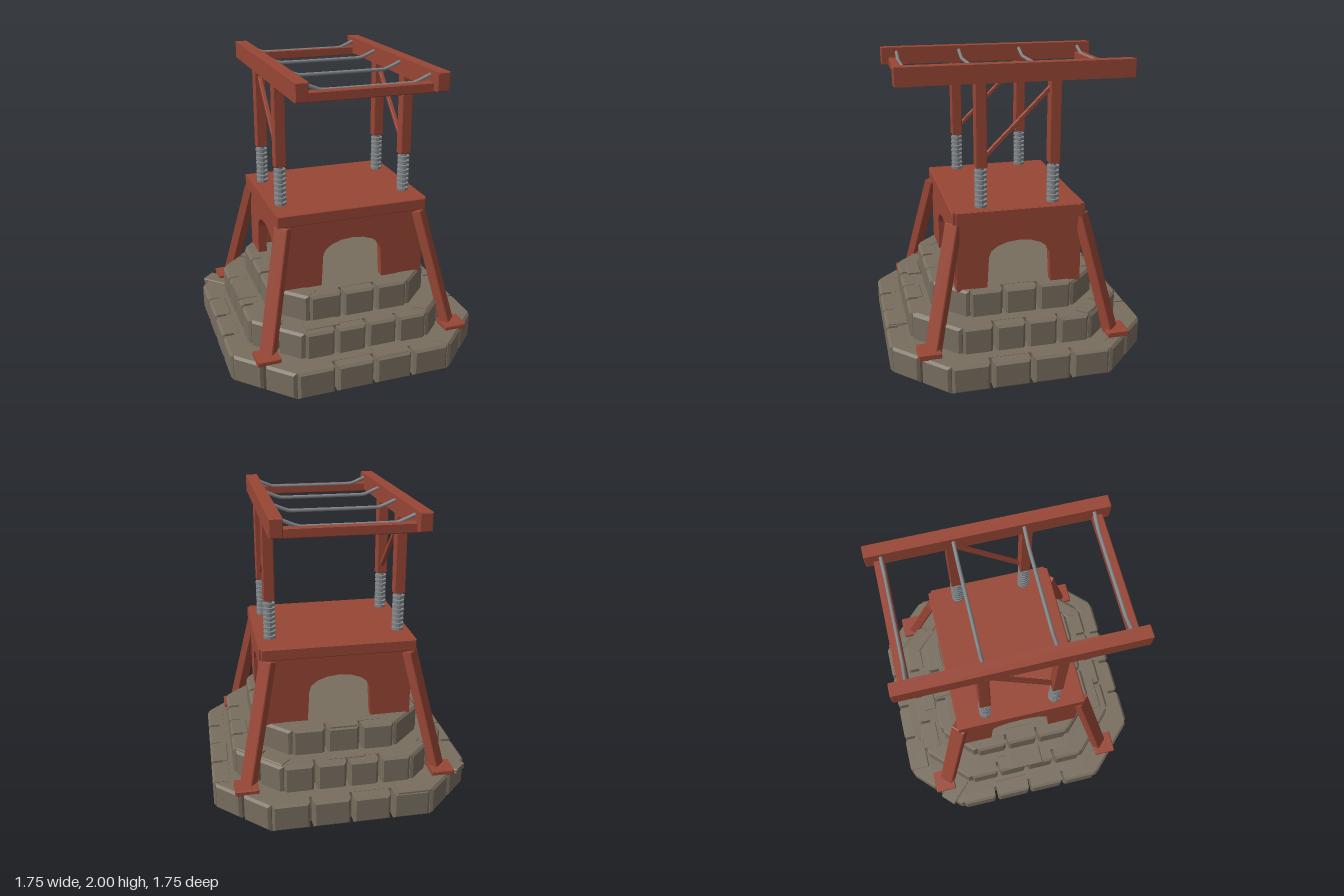
import * as THREE from 'three';

const mat = (name, color) => {
  const m = new THREE.MeshStandardMaterial({ color });
  m.name = name;
  return m;
};

export function createModel() {
  const red = mat('red painted wood', 0x984635);
  const stone = mat('grey brown stone', 0x786e5f);
  const metal = mat('grey metal', 0x7f8487);
  const model = new THREE.Group();
  model.name = 'stoneBaseTower';

  const group = (name) => {
    const g = new THREE.Group();
    g.name = name;
    model.add(g);
    return g;
  };
  const add = (parent, name, geometry, material, x = 0, y = 0, z = 0) => {
    const m = new THREE.Mesh(geometry, material);
    m.name = name;
    m.position.set(x, y, z);
    parent.add(m);
    return m;
  };
  // Box with chamfered edges, centred on its origin
  const chamferBox = (w, h, d, b = 0.006) => {
    const x = w / 2 - b, y = h / 2 - b;
    const s = new THREE.Shape([[-x, -y], [x, -y], [x, y], [-x, y]].map((p) => new THREE.Vector2(...p)));
    return new THREE.ExtrudeGeometry(s, {
      depth: d - 2 * b, bevelSize: b, bevelThickness: b, bevelSegments: 1,
    }).center();
  };

  // Stone tiers: an octagonal core ringed by chamfered blocks
  const tiers = [
    { name: 'lowerTier', half: 0.875, side: 0.53, y0: 0, y1: 0.192, count: 4, corner: 2 },
    { name: 'middleTier', half: 0.725, side: 0.43, y0: 0.17, y1: 0.37, count: 4, corner: 2 },
    { name: 'upperTier', half: 0.57, side: 0.35, y0: 0.35, y1: 0.545, count: 3, corner: 1 },
  ];
  const octagon = (half, side) => [
    [side, half], [half, side], [half, -side], [side, -half],
    [-side, -half], [-half, -side], [-half, side], [-side, half],
  ].map((p) => new THREE.Vector2(...p));
  for (const t of tiers) {
    const g = group(t.name);
    const core = new THREE.ExtrudeGeometry(new THREE.Shape(octagon(t.half - 0.08, t.side - 0.033)), {
      depth: t.y1 - t.y0 - 0.004, bevelEnabled: false,
    });
    core.rotateX(-Math.PI / 2);
    add(g, 'tierCore', core, stone, 0, t.y0, 0);
    const pts = octagon(t.half, t.side);
    const depth = 0.13;
    pts.forEach((a, i) => {
      const b = pts[(i + 1) % 8];
      const n = i % 2 ? t.count : t.corner;
      const len = a.distanceTo(b) / n;
      const dir = b.clone().sub(a).normalize();
      const inward = new THREE.Vector2(dir.y, -dir.x);
      for (let k = 0; k < n; k++) {
        const h = t.y1 - t.y0 - ((i + k) % 3) * 0.003;
        const c = a.clone().addScaledVector(dir, (k + 0.5) * len).addScaledVector(inward, depth / 2);
        const block = add(g, 'stoneBlock', chamferBox(len - 0.02, h, depth, 0.016), stone, c.x, t.y0 + h / 2, c.y);
        block.rotation.y = -Math.atan2(dir.y, dir.x);
      }
    });
  }

  // Loose paving slabs set into the ledges: x, top, z, width, depth, turn
  const slabs = group('pavingSlabs');
  [
    [0.13, 0.198, 0.79, 0.22, 0.14, 0], [-0.41, 0.198, -0.80, 0.22, 0.14, 0],
    [-0.74, 0.198, -0.57, 0.2, 0.12, -0.785], [-0.66, 0.376, 0, 0.13, 0.25, 0],
    [-0.29, 0.376, 0.62, 0.23, 0.1, 0], [0, 0.376, -0.62, 0.25, 0.09, 0],
    [0.46, 0.376, -0.59, 0.18, 0.1, -0.785], [0.61, 0.376, -0.45, 0.18, 0.1, -0.785],
    [0.47, 0.376, 0.59, 0.18, 0.1, 0.785], [0, 0.552, -0.5, 0.19, 0.12, 0],
  ].forEach(([x, top, z, w, d, turn]) => {
    add(slabs, 'slab', chamferBox(w, 0.04, d, 0.006), stone, x, top - 0.02, z).rotation.y = turn;
  });

  // Hollow red base with an arch through each wall
  const base = group('archedBase');
  const archWall = (half, thick) => {
    const y0 = 0.53, y1 = 1.02;
    const s = new THREE.Shape();
    s.moveTo(-half, y0);
    s.lineTo(-0.217, y0);
    s.lineTo(-0.205, 0.755);
    for (let i = 1; i < 8; i++) {
      const a = Math.PI * (1 - i / 8);
      s.lineTo(0.205 * Math.cos(a), 0.755 + 0.107 * Math.sin(a));
    }
    s.lineTo(0.205, 0.755);
    s.lineTo(0.217, y0);
    s.lineTo(half, y0);
    s.lineTo(half, y1);
    s.lineTo(-half, y1);
    return new THREE.ExtrudeGeometry(s, { depth: thick, bevelEnabled: false }).translate(0, 0, -thick);
  };
  for (let i = 0; i < 4; i++) {
    const a = (i * Math.PI) / 2;
    const out = i % 2 ? (i === 1 ? 0.515 : 0.49) : 0.425;
    const wall = add(base, 'archWall', archWall(i % 2 ? 0.42 : 0.49, 0.06), red, out * Math.sin(a), 0, out * Math.cos(a));
    wall.rotation.y = a;
  }
  add(base, 'deck', chamferBox(1.035, 0.08, 0.885), red, 0, 1.04, 0);
  add(base, 'deckTrim', chamferBox(0.03, 0.085, 0.84, 0.004), red, 0.518, 1.037, 0);

  // Splayed corner legs on square feet
  const legs = group('cornerLegs');
  for (const sx of [-1, 1]) for (const sz of [-1, 1]) {
    const bottom = new THREE.Vector3(0.645 * sx, 0.2, 0.605 * sz);
    const top = new THREE.Vector3(0.475 * sx, 0.995, 0.425 * sz);
    const up = top.clone().sub(bottom);
    const length = up.length();
    up.normalize();
    const side = new THREE.Vector3().crossVectors(up, new THREE.Vector3(sx, 0, sz)).normalize();
    const out = new THREE.Vector3().crossVectors(side, up);
    const leg = add(legs, 'leg', chamferBox(0.1, length, 0.065), red);
    leg.position.copy(bottom).add(top).multiplyScalar(0.5);
    leg.quaternion.setFromRotationMatrix(new THREE.Matrix4().makeBasis(side, up, out));
    add(legs, 'foot', chamferBox(0.155, 0.035, 0.15), red, 0.66 * sx, 0.202, 0.635 * sz);
  }

  // Ribbed insulator with collars turned as one profile
  const profile = [[0, 1.07], [0.022, 1.07]];
  for (let i = 0; i < 8; i++) {
    const y = 1.095 + i * 0.0325;
    profile.push([0.022, y - 0.009], [0.041, y - 0.009], [0.041, y + 0.009], [0.022, y + 0.009]);
  }
  profile.push([0.022, 1.36]);
  const ribbed = new THREE.LatheGeometry(profile.map((p) => new THREE.Vector2(...p)), 12).toNonIndexed();
  ribbed.computeVertexNormals();

  // Upper frame: posts, braces, long beams and cross beams
  const frame = group('upperFrame');
  for (const sx of [-1, 1]) {
    const x = 0.438 * sx;
    for (const sz of [-1, 1]) {
      add(frame, 'ribbedInsulator', ribbed, metal, x, 0, 0.24 * sz);
      add(frame, 'post', chamferBox(0.075, 0.55, 0.075), red, x, 1.625, 0.24 * sz);
    }
    add(frame, 'longBeam', chamferBox(0.082, 0.116, 1.53), red, x, 1.942, 0);
    const brace = add(frame, 'brace', chamferBox(0.027, 0.6, 0.027, 0.003), red, x, 1.63, -0.002);
    brace.rotation.x = -Math.PI / 4;
  }
  for (const sz of [-1, 1]) {
    add(frame, 'crossBeam', chamferBox(0.82, 0.062, 0.066), red, 0, 1.9, 0.682 * sz);
  }

  // Cranked metal rods slung between the long beams
  const rods = group('metalRods');
  const path = new THREE.CatmullRomCurve3(
    [[-0.42, 1.972], [-0.395, 1.968], [-0.285, 1.926], [0.285, 1.926], [0.395, 1.968], [0.42, 1.972]]
      .map(([x, y]) => new THREE.Vector3(x, y, 0)), false, 'catmullrom', 0.1);
  const rod = new THREE.TubeGeometry(path, 48, 0.012, 8);
  for (const z of [-0.665, -0.222, 0.217, 0.658]) add(rods, 'rod', rod, metal, 0, 0, z);

  return model;
}
